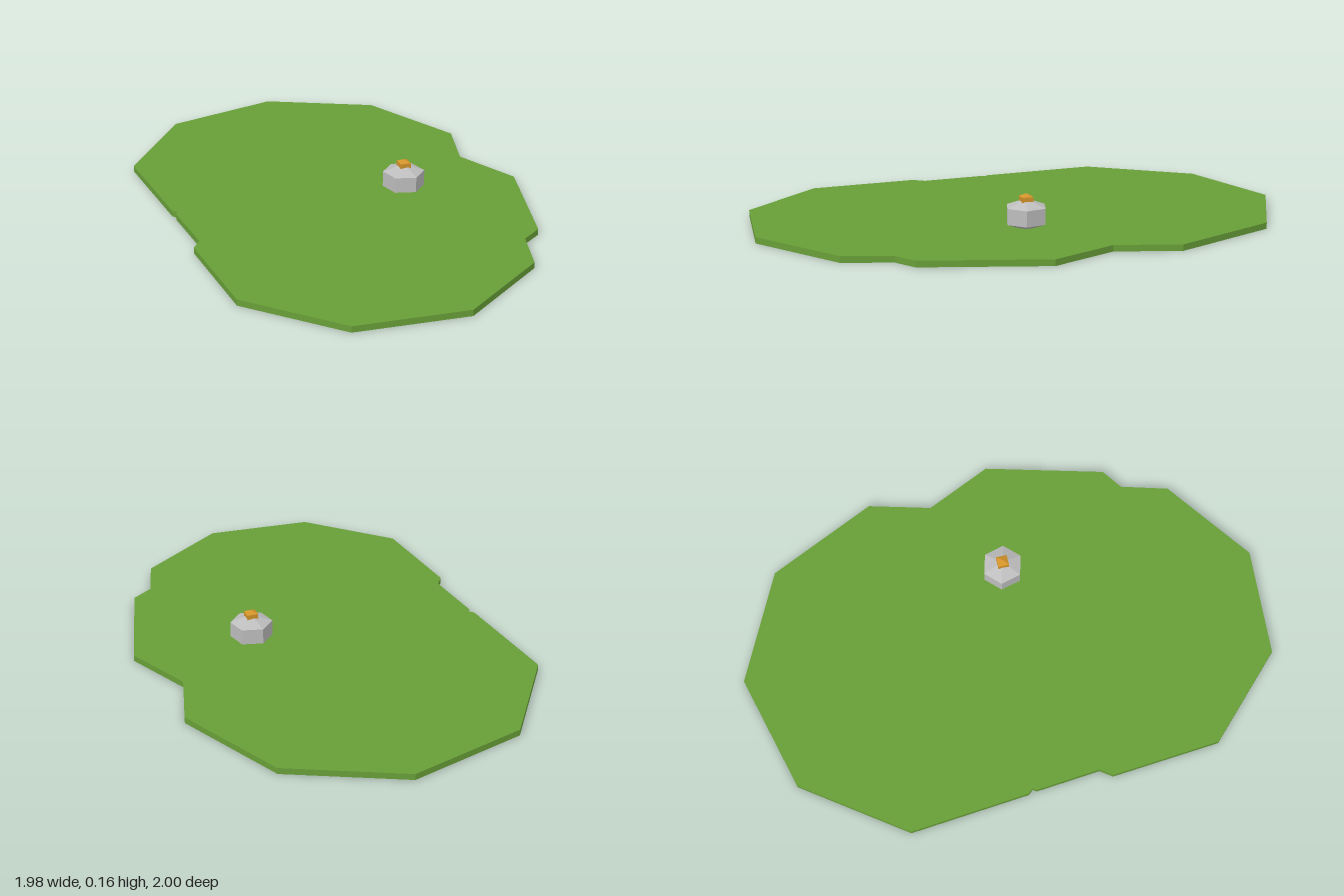
import * as THREE from 'three';

export function createModel() {
  const model = new THREE.Group();
  const mat = (name, color) => {
    const m = new THREE.MeshStandardMaterial({ color, flatShading: true });
    m.name = name;
    return m;
  };
  const grass = mat('grass green', 0x689f38);
  const stone = mat('stone grey', 0xbdbdbd);
  const gold = mat('gold', 0xd4942a);

  const add = (name, geometry, material, x = 0, y = 0, z = 0) => {
    const mesh = new THREE.Mesh(geometry, material);
    mesh.name = name;
    mesh.position.set(x, y, z);
    model.add(mesh);
    return mesh;
  };

  // Thin slab of ground: outline as x, z pairs
  const outline = [
    [-0.26, -1], [0.22, -0.83], [0.355, -0.595], [0.645, -0.49], [0.905, -0.04],
    [0.885, 0.065], [0.985, 0.245], [0.905, 0.7], [0.555, 1], [0.09, 1],
    [-0.265, 0.7], [-0.275, 0.64], [-0.485, 0.465], [-0.49, 0.445],
    [-0.515, 0.445], [-0.905, 0.12], [-0.99, -0.385], [-0.735, -0.83],
  ];
  const shape = new THREE.Shape(outline.map(([x, z]) => new THREE.Vector2(x, -z)));
  const slab = new THREE.ExtrudeGeometry(shape, { depth: 0.026, bevelEnabled: false });
  slab.rotateX(-Math.PI / 2);
  add('ground', slab, grass);

  // Squashed low-poly balls: a faceted stone with a gold nugget on top
  const ball = (radius, sides, turn) =>
    new THREE.SphereGeometry(radius, sides, 3).rotateY(turn).scale(1, 0.65, 1);
  add('stone', ball(0.102, 6, Math.PI / 6), stone, 0.262, 0.078, -0.165);
  add('nugget', ball(0.038, 4, 0), gold, 0.262, 0.14, -0.165);

  return model;
}
